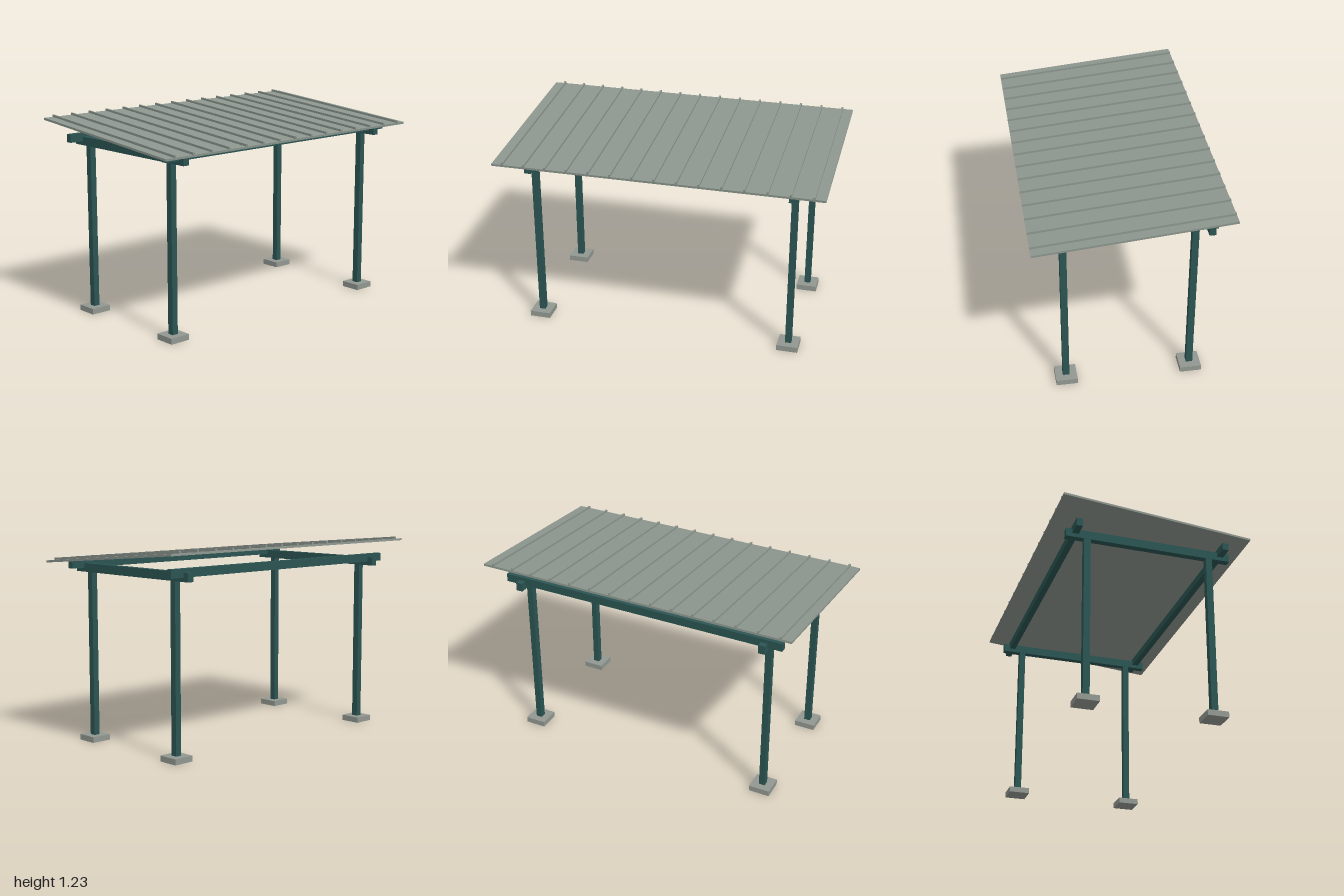
import * as THREE from 'three';

export function createModel() {
  const model = new THREE.Group();
  model.name = 'carport';

  const steel = new THREE.MeshStandardMaterial({ color: 0x2b5553 });
  steel.name = 'dark teal steel';
  const sheet = new THREE.MeshStandardMaterial({ color: 0x8c968e });
  sheet.name = 'grey green roofing';
  const concrete = new THREE.MeshStandardMaterial({ color: 0x929891 });
  concrete.name = 'concrete grey';

  const addBox = (parent, name, material, [w, h, d], [x, y, z]) => {
    const mesh = new THREE.Mesh(new THREE.BoxGeometry(w, h, d), material);
    mesh.name = name;
    mesh.position.set(x, y, z);
    parent.add(mesh);
  };

  const postX = 0.8, postZ = 0.38, padHeight = 0.035;
  const beamBottom = 1.042, beamTop = 1.095;

  for (const sx of [-1, 1]) {
    const side = sx > 0 ? 'left' : 'right';
    // Posts standing on square footings
    for (const sz of [-1, 1]) {
      const end = sz > 0 ? 'Front' : 'Back';
      addBox(model, `${side}${end}Footing`, concrete, [0.13, padHeight, 0.13],
        [sx * postX, padHeight / 2, sz * postZ]);
      addBox(model, `${side}${end}Post`, steel, [0.038, beamBottom - padHeight, 0.04],
        [sx * postX, (beamBottom + padHeight) / 2, sz * postZ]);
    }
    // Rafter joining front and back posts
    addBox(model, `${side}Rafter`, steel, [0.04, beamTop - beamBottom, 1.02],
      [sx * postX, (beamTop + beamBottom) / 2, 0]);
  }

  // Purlins running across the rafters
  for (const sz of [-1, 1]) {
    addBox(model, sz > 0 ? 'frontPurlin' : 'backPurlin', steel, [1.82, 0.05, 0.038],
      [0, 1.091, sz * 0.453]);
  }

  // Roof sheet, sloping down to the front, with raised seams
  const pitch = THREE.MathUtils.degToRad(5);
  const thickness = 0.013, seamHeight = 0.0135, length = 1.15 / Math.cos(pitch);
  const roof = new THREE.Group();
  roof.name = 'roof';
  roof.position.y = 1.156;
  roof.rotation.x = pitch;
  addBox(roof, 'roofSheet', sheet, [2, thickness, length], [0, 0, 0]);
  for (let i = -7; i <= 7; i++) {
    addBox(roof, 'roofSeam', sheet, [0.012, seamHeight, length],
      [i * 2 / 15, (thickness + seamHeight) / 2, 0]);
  }
  model.add(roof);

  return model;
}
